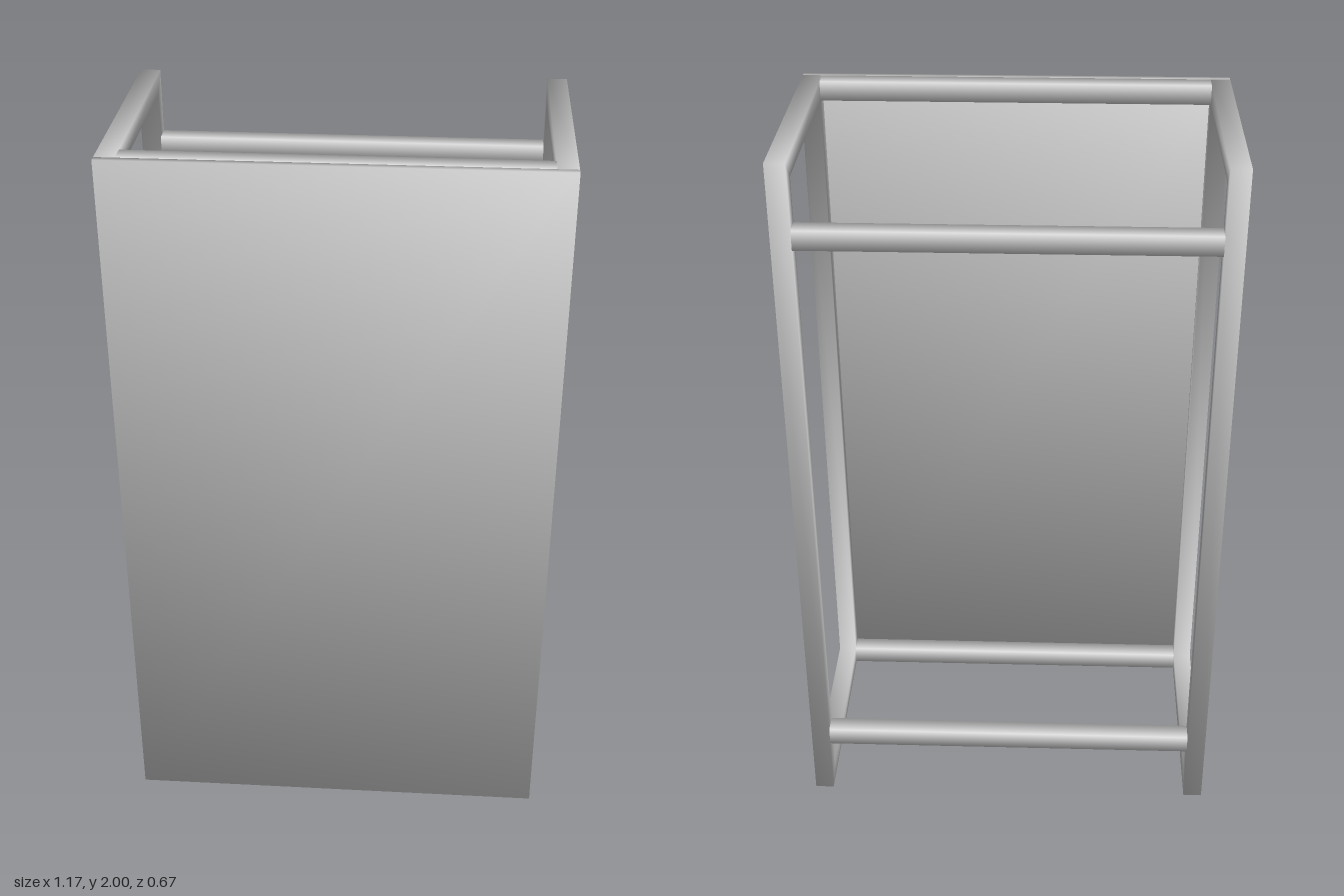
import * as THREE from 'three';

const W = 0.583;              // half width
const H = 2;                  // height
const BACK = -0.337, FRAME_FRONT = 0.318, FRONT = 0.337;
const BAR = 0.053;            // square bar thickness

const material = new THREE.MeshStandardMaterial({ color: 0xcccccc });

function addMesh(group, name, geometry, x, y, z) {
  const mesh = new THREE.Mesh(geometry, material);
  mesh.name = name;
  mesh.position.set(x, y, z);
  group.add(mesh);
}

// Box with soft corner normals; bars along x keep purely radial normals
function softBox(w, h, d, radial = false) {
  const geo = new THREE.BoxGeometry(w, h, d);
  const pos = geo.attributes.position;
  const n = new THREE.Vector3();
  for (let i = 0; i < pos.count; i++) {
    n.set(radial ? 0 : Math.sign(pos.getX(i)), Math.sign(pos.getY(i)), Math.sign(pos.getZ(i))).normalize();
    geo.attributes.normal.setXYZ(i, n.x, n.y, n.z);
  }
  return geo;
}

// Mitred rectangular loop of square bar in the y-z plane
function barLoop(height, depth) {
  const corners = [[1, 1], [1, -1], [-1, -1], [-1, 1]];   // y, z signs
  const section = [[1, 1], [-1, 1], [-1, -1], [1, -1]];   // x sign, outer or inner
  const positions = [], normals = [], index = [];
  const n = new THREE.Vector3();
  corners.forEach(([sy, sz], j) => {
    section.forEach(([sx, out], k) => {
      const inset = out > 0 ? 0 : BAR;
      positions.push(sx * BAR / 2, sy * (height / 2 - inset), sz * (depth / 2 - inset));
      n.set(sx, out * sy, out * sz).normalize();
      normals.push(n.x, n.y, n.z);
      const j2 = (j + 1) % 4, k2 = (k + 1) % 4;
      const a = j * 4 + k, b = j * 4 + k2, c = j2 * 4 + k2, d = j2 * 4 + k;
      index.push(a, d, c, a, c, b);
    });
  });
  const geo = new THREE.BufferGeometry();
  geo.setAttribute('position', new THREE.Float32BufferAttribute(positions, 3));
  geo.setAttribute('normal', new THREE.Float32BufferAttribute(normals, 3));
  geo.setIndex(index);
  return geo;
}

export function createModel() {
  const group = new THREE.Group();
  group.name = 'panelStand';

  // Side frames
  const loop = barLoop(H, FRAME_FRONT - BACK);
  for (const [name, s] of [['leftSideFrame', 1], ['rightSideFrame', -1]]) {
    addMesh(group, name, loop, s * (W - BAR / 2), H / 2, (FRAME_FRONT + BACK) / 2);
  }

  // Rails joining the side frames: front at top and bottom, back set inward
  const rail = softBox(2 * (W - BAR), BAR, BAR, true);
  addMesh(group, 'frontTopRail', rail, 0, H - BAR / 2, FRAME_FRONT - BAR / 2);
  addMesh(group, 'frontBottomRail', rail, 0, BAR / 2, FRAME_FRONT - BAR / 2);
  addMesh(group, 'backTopRail', rail, 0, 1.8, BACK + BAR / 2);
  addMesh(group, 'backBottomRail', rail, 0, 0.2, BACK + BAR / 2);

  // Front panel
  const thickness = FRONT - FRAME_FRONT;
  addMesh(group, 'frontPanel', softBox(2 * W, H, thickness), 0, H / 2, FRONT - thickness / 2);

  return group;
}
